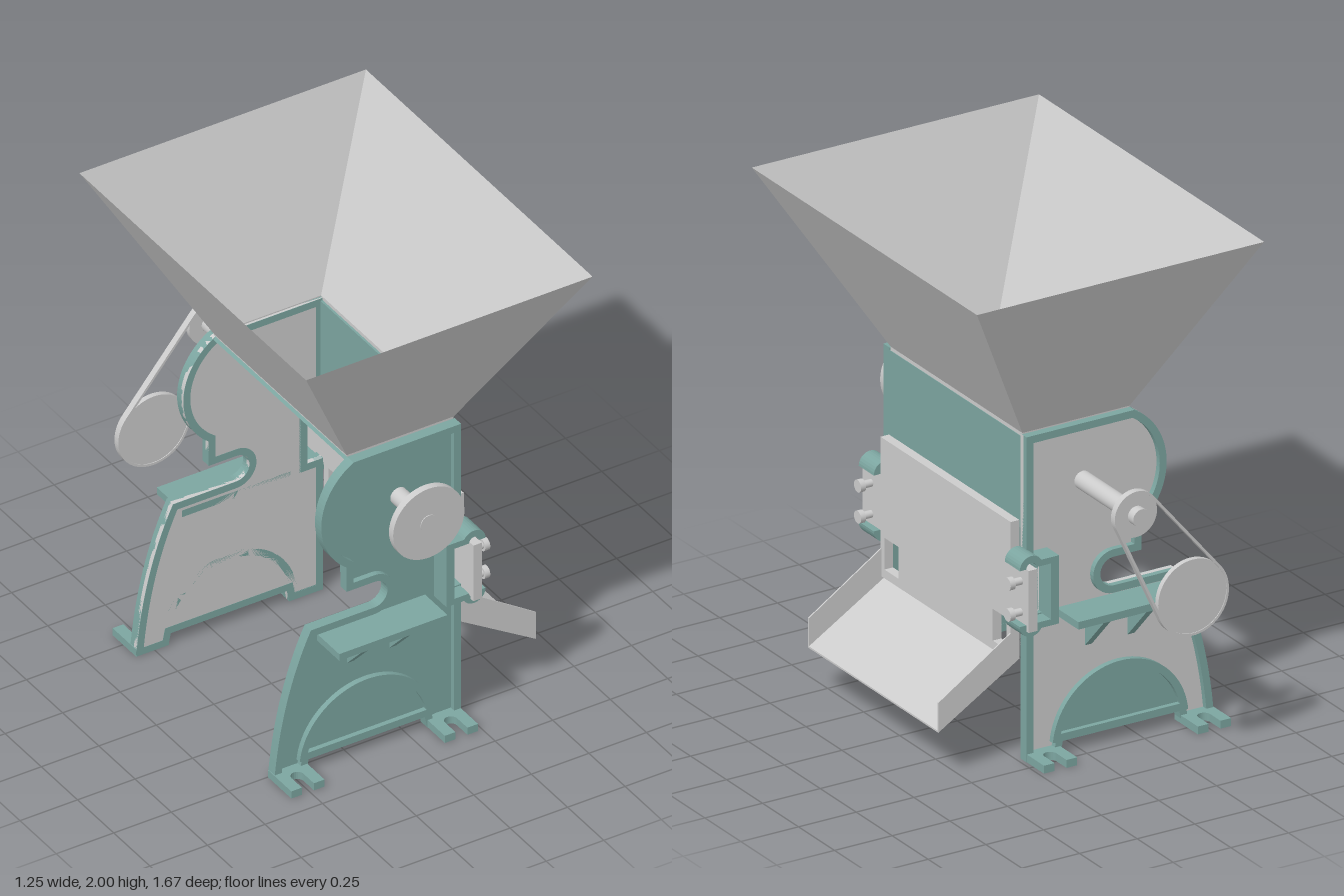
import * as THREE from 'three';

const grey = new THREE.MeshStandardMaterial({ color: 0xcccccc });
const teal = new THREE.MeshStandardMaterial({ color: 0x7ca5a0 });
const sheet = new THREE.MeshStandardMaterial({ color: 0xcccccc, side: THREE.DoubleSide });
const v = (x, y) => new THREE.Vector2(x, y);

// Points on an arc, angles in degrees
function arc(cx, cy, r, a0, a1, n = 20) {
  return Array.from({ length: n + 1 }, (_, i) => {
    const a = THREE.MathUtils.degToRad(a0 + (a1 - a0) * i / n);
    return v(cx + r * Math.cos(a), cy + r * Math.sin(a));
  });
}

// Counter-clockwise outline moved inwards by d with mitred corners
function inset(pts, d) {
  return pts.map((p, i) => {
    const a = pts[(i + pts.length - 1) % pts.length], b = pts[(i + 1) % pts.length];
    const e = p.clone().sub(a).normalize(), f = b.clone().sub(p).normalize();
    const k = d / Math.max(0.4, 1 + e.dot(f));
    return v(p.x - (e.y + f.y) * k, p.y + (e.x + f.x) * k);
  });
}

export function createModel() {
  const model = new THREE.Group();
  model.name = 'hopperMill';

  function add(name, geometry, material) {
    const mesh = new THREE.Mesh(geometry, material);
    mesh.name = name;
    model.add(mesh);
    return mesh;
  }
  function extrude(pts, depth, hole) {
    const shape = new THREE.Shape(pts);
    for (const h of hole || []) shape.holes.push(new THREE.Path(h));
    return new THREE.ExtrudeGeometry(shape, { depth, bevelEnabled: false });
  }
  // Outline in xy between two z values
  const slab = (name, pts, z0, z1, mat, hole) =>
    add(name, extrude(pts, Math.abs(z1 - z0), hole).translate(0, 0, Math.min(z0, z1)), mat);
  // Outline in zy between two x values
  const sideSlab = (name, pts, x0, x1, mat, hole) =>
    add(name, extrude(pts, x1 - x0, hole).rotateY(-Math.PI / 2).translate(x1, 0, 0), mat);
  const rect = (a0, a1, b0, b1) => [v(a0, b0), v(a1, b0), v(a1, b1), v(a0, b1)];
  const discZ = (name, x, y, r, z0, z1) =>
    add(name, new THREE.CylinderGeometry(r, r, z1 - z0, 48).rotateX(Math.PI / 2).translate(x, y, (z0 + z1) / 2), grey);

  // Side frame outline, counter-clockwise from the front foot
  const curve = new THREE.QuadraticBezierCurve(v(-0.42, 0.625), v(-0.55, 0.36), v(-0.58, 0));
  const outline = [
    v(0.085, 0), v(0.232, 0), v(0.232, 0.59), v(0.165, 0.59), v(0.165, 0.805), v(0.232, 0.805), v(0.232, 1.31),
    ...arc(-0.099, 1.07, 0.276, 119.5, 233, 30),
    v(-0.265, 0.74), ...arc(-0.145, 0.6825, 0.0575, 90, -90, 16),
    ...curve.getPoints(16), v(-0.44, 0), v(-0.43, 0.05), v(0.075, 0.05),
  ];
  const archOuter = arc(-0.175, 0.02, 0.295, 6, 174, 40);
  const archInner = arc(-0.175, 0.02, 0.265, 174, 6, 40);

  for (const [side, base, s] of [['front', 0.5, 1], ['back', -0.41, -1]]) {
    const at = d => base + s * d;

    // Web, raised rim and arch rib
    slab(side + 'FrameWeb', outline, at(0), at(0.02), s > 0 ? teal : grey);
    slab(side + 'FrameRim', outline, at(-0.001), at(0.043), teal, [inset(outline, 0.03)]);
    slab(side + 'ArchRib', [...archOuter, ...archInner], at(0), at(0.043), teal);
    slab(side + 'ArchPanel', archOuter, at(0.001), at(0.023), teal);

    // Slotted feet
    for (const x of [-0.508, 0.159]) {
      const foot = [
        v(x - 0.072, 0), v(x + 0.072, 0), v(x + 0.072, 0.162), v(x + 0.026, 0.162),
        ...arc(x, 0.09, 0.026, 0, -180, 10), v(x - 0.026, 0.162), v(x - 0.072, 0.162),
      ].map(p => v(p.x, at(p.y)));
      add(side + 'Foot', extrude(foot, 0.032).rotateX(Math.PI / 2).translate(0, 0.032, 0), teal);
    }

    // Shelf on two gussets
    slab(side + 'Shelf', rect(-0.38, 0.09, 0.552, 0.582), at(0), at(0.175), teal);
    for (const x of [-0.235, -0.05])
      sideSlab(side + 'Gusset', [v(at(0.015), 0.56), v(at(0.17), 0.56), v(at(0.015), 0.395)], x - 0.015, x + 0.015, teal);

    // Clamp with an upper and a lower hook
    const half = [
      v(0.13, 0.835), v(0.2, 0.835), ...arc(0.25, 0.81, 0.05, 150, 0, 12),
      ...arc(0.25, 0.81, 0.022, 0, 180, 10), v(0.165, 0.81),
    ];
    const lower = half.map(p => v(p.x, 1.395 - p.y)).reverse();
    slab(side + 'Clamp', [...half, ...lower], at(0), at(0.105), teal);

    // Clamping bolts
    for (const y of [0.625, 0.75]) {
      for (const [name, r, x0, x1] of [['BoltShank', 0.015, 0.26, 0.31], ['BoltHead', 0.025, 0.308, 0.33]])
        add(side + name, new THREE.CylinderGeometry(r, r, x1 - x0, 20).rotateZ(Math.PI / 2)
          .translate((x0 + x1) / 2, y, at(0.065)), grey);
    }
  }

  // Housing panels between the frames
  slab('rightPanel', rect(0.221, 0.232, 0.93, 1.3), -0.41, 0.5, teal);
  slab('slopedPanel', [v(-0.235, 1.31), v(-0.245, 1.3), v(-0.14, 1.19), v(-0.13, 1.2)], -0.41, 0.5, teal);

  // Breast plate with side wings and two windows
  sideSlab('breastPlate', [
    v(-0.405, 0.4), v(0.5, 0.4), v(0.5, 0.56), v(0.625, 0.56), v(0.625, 0.81), v(0.5, 0.81),
    v(0.5, 0.96), v(-0.405, 0.96), v(-0.405, 0.81), v(-0.53, 0.81), v(-0.53, 0.56), v(-0.405, 0.56),
  ], 0.234, 0.271, grey, [rect(0.375, 0.473, 0.435, 0.563), rect(-0.375, -0.28, 0.435, 0.563)]);

  // Discharge chute
  const chuteSide = [v(0.235, 0.4), v(0.585, 0.185), v(0.585, 0.305), v(0.235, 0.535)];
  slab('chuteFloor', [v(0.235, 0.4), v(0.585, 0.185), v(0.585, 0.192), v(0.235, 0.407)], -0.405, 0.5, grey);
  slab('chuteFrontWall', chuteSide, 0.494, 0.5, grey);
  slab('chuteBackWall', chuteSide, -0.405, -0.399, grey);

  // Open hopper with a short neck, from rectangular loops
  const loops = [
    [1.3, -0.235, 0.23, -0.42, 0.495], [1.315, -0.235, 0.23, -0.42, 0.495], [2, -0.625, 0.62, -0.73, 0.835],
  ].map(([y, x0, x1, z0, z1]) => [[x0, y, z1], [x1, y, z1], [x1, y, z0], [x0, y, z0]]);
  const pos = [];
  for (let l = 0; l < 2; l++) for (let i = 0; i < 4; i++) {
    const j = (i + 1) % 4, a = loops[l], b = loops[l + 1];
    for (const p of [a[i], a[j], b[j], a[i], b[j], b[i]]) pos.push(...p);
  }
  const hopper = new THREE.BufferGeometry();
  hopper.setAttribute('position', new THREE.Float32BufferAttribute(pos, 3));
  hopper.computeVertexNormals();
  add('hopper', hopper, sheet);

  // Shaft, front wheel and rear pulleys
  const sx = -0.025, sy = 1.07, mx = -0.27, my = 0.682;
  discZ('shaft', sx, sy, 0.036, -0.84, 0.732);
  discZ('frontWheel', sx, sy, 0.155, 0.7, 0.729);
  discZ('shaftPulley', sx, sy, 0.09, -0.803, -0.782);
  discZ('motorPulley', mx, my, 0.15, -0.803, -0.782);

  // Belt around both pulleys
  const dist = Math.hypot(mx - sx, my - sy);
  const t = THREE.MathUtils.radToDeg(Math.atan2(my - sy, mx - sx));
  const phi = THREE.MathUtils.radToDeg(Math.acos((0.09 - 0.15) / dist));
  const loop = g => [
    ...arc(sx, sy, 0.09 + g, t + phi, t + 360 - phi, 32),
    ...arc(mx, my, 0.15 + g, t - phi, t + phi, 40),
  ];
  slab('belt', loop(0.005), -0.806, -0.779, grey, [loop(-0.005)]);

  return model;
}
